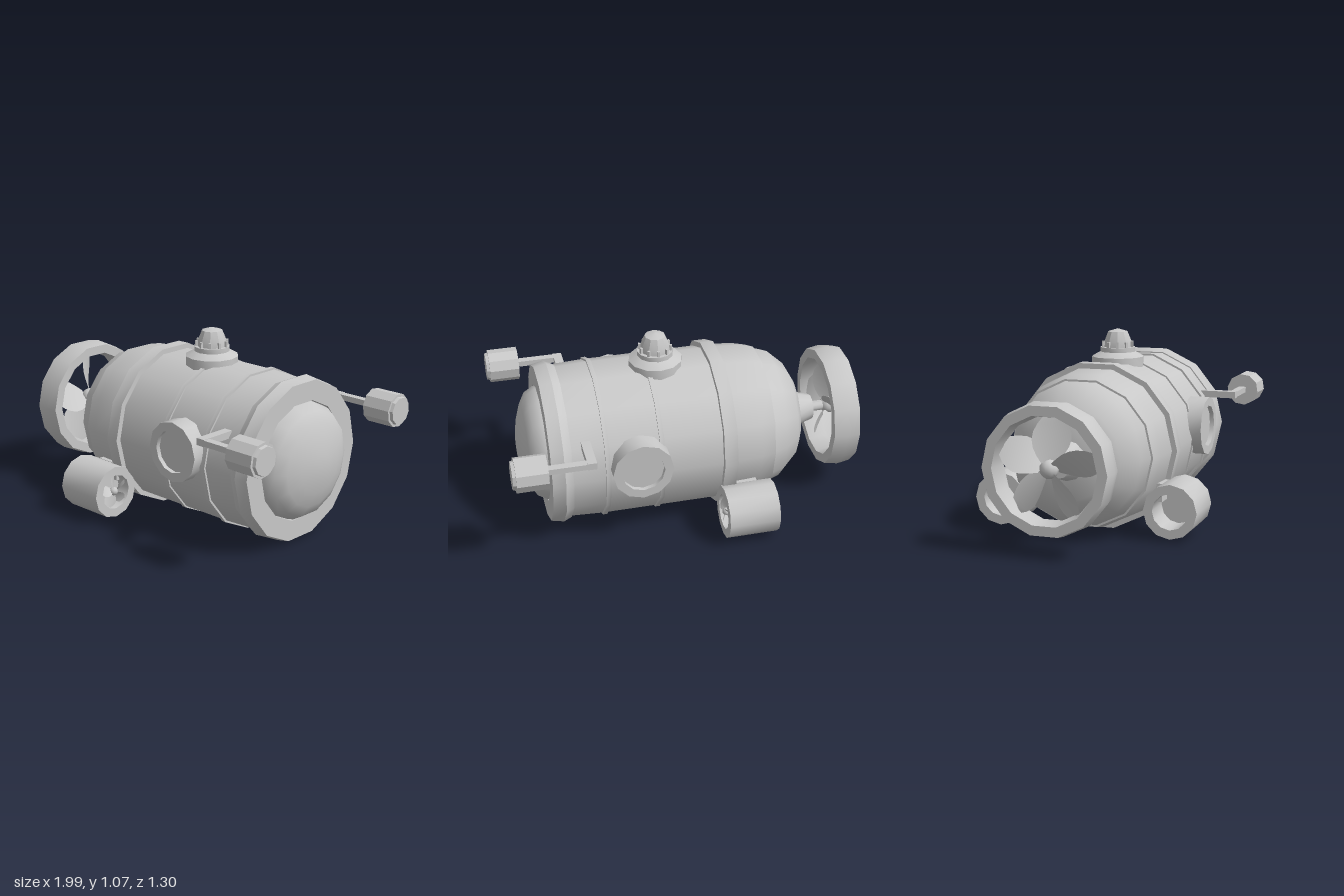
import * as THREE from 'three';
import { toCreasedNormals } from 'three/addons/utils/BufferGeometryUtils.js';

const AXIS_Y = 0.457; // height of the hull's long axis

export function createModel() {
  const model = new THREE.Group();
  model.name = 'submarine';
  const grey = new THREE.MeshStandardMaterial({ color: 0xc8c8c8, side: THREE.DoubleSide });
  grey.name = 'grey paint';

  function add(parent, name, geometry, x = 0, y = 0, z = 0) {
    const mesh = new THREE.Mesh(geometry, grey);
    mesh.name = name;
    mesh.position.set(x, y, z);
    parent.add(mesh);
    return mesh;
  }

  // Turned shape from [along, radius] pairs; smooth round the axis, sharp at steps
  function turned(profile, sides, axis = 'x', crease = 0.8) {
    const g = new THREE.LatheGeometry(profile.map(([a, r]) => new THREE.Vector2(r, a)), sides);
    if (axis === 'x') g.rotateZ(-Math.PI / 2);
    if (axis === 'z') g.rotateX(Math.PI / 2);
    return toCreasedNormals(g, crease);
  }

  // Closed hollow ring between two positions along its axis
  const tube = (a, b, outer, inner) =>
    [[a, inner], [a, outer], [b, outer], [b, inner], [a, inner]];

  function box(parent, name, x0, x1, y0, y1, z0, z1) {
    add(parent, name, new THREE.BoxGeometry(x1 - x0, y1 - y0, Math.abs(z1 - z0)),
      (x0 + x1) / 2, (y0 + y1) / 2, (z0 + z1) / 2);
  }

  // Five twisted blades round a ball hub, spinning on x
  function propeller(name, radius, depth, hubRadius) {
    const group = new THREE.Group();
    group.name = name;
    add(group, 'propellerHub', new THREE.SphereGeometry(hubRadius, 10, 8));
    for (let i = 0; i < 5; i++) {
      const g = new THREE.PlaneGeometry(1, 1, 2, 6);
      const p = g.attributes.position;
      for (let k = 0; k < p.count; k++) {
        const t = p.getY(k) + 0.5;
        const side = p.getX(k) * 2;
        const half = radius * (0.1 + 0.3 * Math.sin(Math.PI * Math.min(1, 0.1 + t * 0.8)));
        const pitch = 0.95 - 0.4 * t;
        p.setXYZ(k, side * depth * Math.sin(pitch) * half / (radius * 0.34),
          hubRadius * 0.7 + t * (radius - hubRadius * 0.7),
          side * half * Math.cos(pitch));
      }
      g.computeVertexNormals();
      add(group, 'propellerBlade', g).rotation.x = i * Math.PI * 0.4 + 0.1;
    }
    return group;
  }

  // Hull and its straps
  const hull = new THREE.Group();
  hull.name = 'hull';
  hull.position.y = AXIS_Y;
  model.add(hull);
  add(hull, 'hullTail', turned([
    [-0.675, 0], [-0.675, 0.22], [-0.64, 0.285], [-0.55, 0.368], [-0.465, 0.396],
  ], 14));
  add(hull, 'hullShell', turned([
    [-0.47, 0.39], [-0.47, 0.405], [-0.39, 0.424], [-0.24, 0.436],
    [0.48, 0.436], [0.665, 0.428],
  ], 14));
  for (const [a, b, r] of [[-0.24, -0.165, 0.465], [0.16, 0.185, 0.445], [0.46, 0.485, 0.447]]) {
    add(hull, 'hullStrap', turned(tube(a, b, r, 0.42), 14));
  }

  // Window frame and domed window at the nose
  add(hull, 'windowFrame', turned([
    [0.66, 0.40], [0.66, 0.435], [0.705, 0.454], [0.775, 0.440], [0.775, 0.328], [0.73, 0.328],
  ], 14, 'x', 0.5));
  add(hull, 'domeWindow', turned([
    [0.74, 0.326], [0.78, 0.318], [0.83, 0.29], [0.865, 0.23], [0.893, 0.15], [0.908, 0.07], [0.913, 0],
  ], 14));

  // Tail cone, shaft and shrouded main propeller
  add(hull, 'tailCone', turned([[-0.80, 0], [-0.80, 0.072], [-0.67, 0.11]], 12));
  add(hull, 'propellerShaft', turned([[-0.93, 0], [-0.93, 0.03], [-0.79, 0.03]], 10));
  add(hull, 'propellerShroud', turned([
    [-0.985, 0.285], [-0.985, 0.338], [-0.91, 0.35], [-0.835, 0.338],
    [-0.835, 0.285], [-0.91, 0.27], [-0.985, 0.285],
  ], 14));
  const mainPropeller = propeller('mainPropeller', 0.27, 0.088, 0.05);
  mainPropeller.position.x = -0.91;
  hull.add(mainPropeller);

  // Top hatch
  const hatch = new THREE.Group();
  hatch.name = 'topHatch';
  hatch.position.set(0.117, 0, 0);
  model.add(hatch);
  add(hatch, 'hatchBase', turned([
    [0.84, 0.148], [0.915, 0.148], [0.942, 0.10], [0.968, 0.10], [0.968, 0],
  ], 12, 'y', 0.55));
  add(hatch, 'hatchCap', turned([
    [0.96, 0.083], [1.0, 0.08], [1.055, 0.057], [1.072, 0],
  ], 10, 'y', 0.55));
  for (let i = 0; i < 10; i++) {
    const a = (i / 10) * Math.PI * 2;
    add(hatch, 'hatchRib', new THREE.BoxGeometry(0.014, 0.035, 0.02),
      Math.sin(a) * 0.082, 0.982, Math.cos(a) * 0.082).rotation.y = a;
  }

  for (const s of [1, -1]) {
    const sideName = s > 0 ? 'front' : 'back';

    // Porthole
    const porthole = new THREE.Group();
    porthole.name = sideName + 'Porthole';
    porthole.position.set(0.292, 0.512, 0);
    if (s < 0) porthole.rotation.y = Math.PI;
    model.add(porthole);
    add(porthole, 'portholeRim', turned(tube(0.38, 0.49, 0.166, 0.117), 12, 'z'));
    add(porthole, 'portholeGlass', new THREE.CircleGeometry(0.12, 12), 0, 0, 0.465);

    // Side thruster
    const thruster = new THREE.Group();
    thruster.name = sideName + 'Thruster';
    thruster.position.set(0, 0.168, s * 0.487);
    model.add(thruster);
    add(thruster, 'thrusterHousing', turned(tube(-0.44, -0.155, 0.148, 0.098), 12));
    add(thruster, 'thrusterBulkhead', turned([[-0.27, 0], [-0.27, 0.1], [-0.24, 0.1], [-0.24, 0]], 12));
    add(thruster, 'thrusterShaft', turned([[-0.25, 0.012], [-0.165, 0.012]], 8));
    const fan = propeller('thrusterPropeller', 0.092, 0.024, 0.024);
    fan.position.x = -0.172;
    thruster.add(fan);
    box(model, 'thrusterBracket', -0.36, -0.22, 0.2, 0.3, s * 0.3, s * 0.42);

    // Headlamp on its bent arm
    const lamp = new THREE.Group();
    lamp.name = sideName + 'Headlamp';
    model.add(lamp);
    box(lamp, 'lampArmOut', 0.555, 0.605, 0.637, 0.675, s * 0.365, s * 0.575);
    box(lamp, 'lampArmForward', 0.58, 0.83, 0.64, 0.672, s * 0.533, s * 0.575);
    const housing = add(lamp, 'lampHousing', turned([
      [0.815, 0], [0.815, 0.094], [0.983, 0.094], [0.983, 0.08],
      [1.0, 0.076], [1.0, 0],
    ], 10, 'x', 0.3), 0, 0.655, s * 0.555);
    housing.rotation.x = s * 0.15;
  }

  return model;
}
